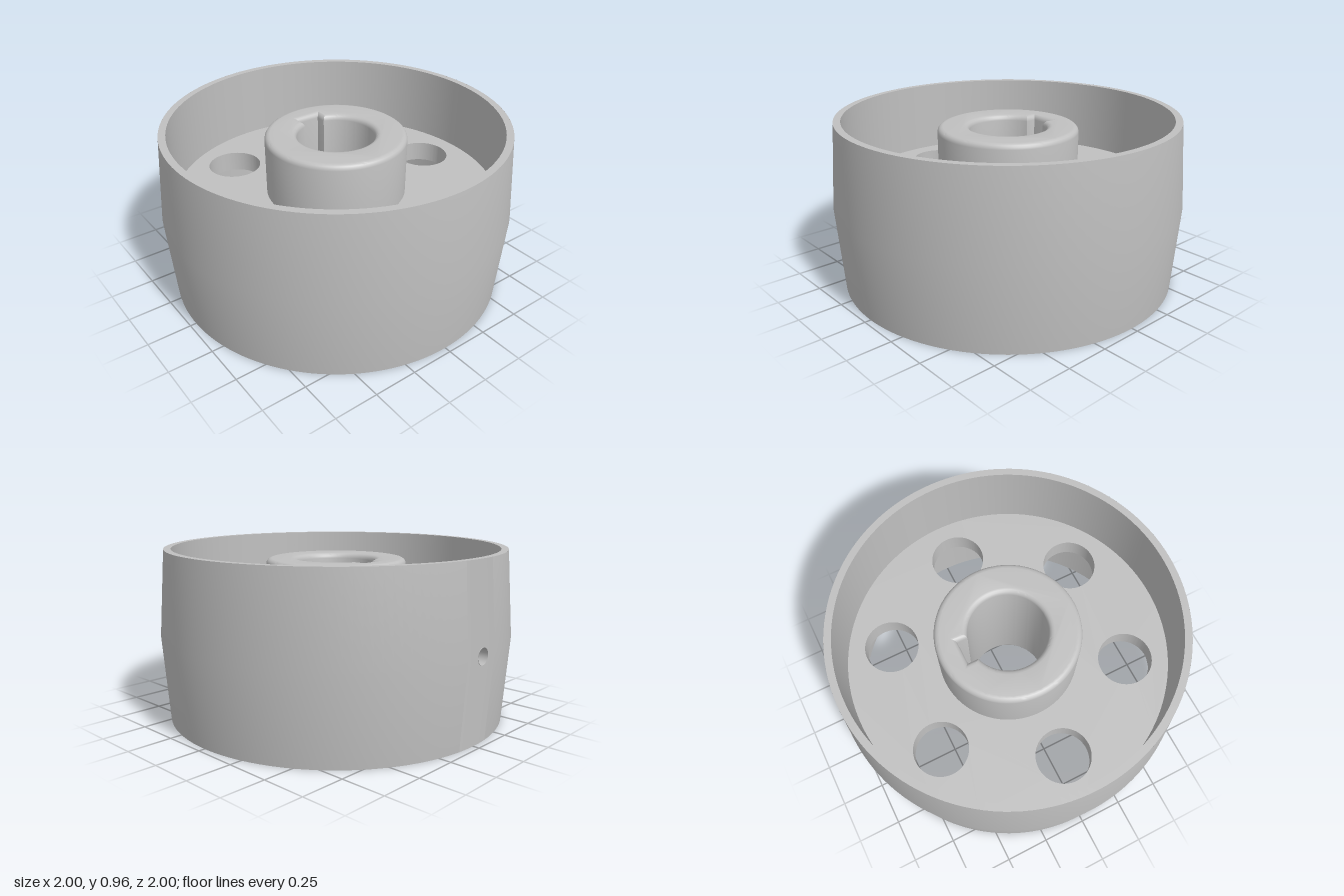
import * as THREE from 'three';
import { toCreasedNormals } from 'three/addons/utils/BufferGeometryUtils.js';

const H = 0.96, MID = H / 2;         // rim height and crown line
const R_MID = 1, R_END = 0.965;      // crowned outer radius
const R_IN = 0.925, R_HUB = 0.4, R_BORE = 0.22;
const GAP = 0.12, R_PIN = 0.045;     // back patch half angle, radial hole radius

const crownRadius = (y) => R_MID - (R_MID - R_END) * Math.abs(y - MID) / MID;

function circle(x, y, r) {
  return new THREE.Path().absarc(x, y, r, 0, Math.PI * 2, true);
}

// Extrudes a plan shape upward from y0
function plate(shape, y0, height, bevel = 0) {
  const geo = new THREE.ExtrudeGeometry(shape, {
    depth: height - 2 * bevel, curveSegments: 64, bevelEnabled: bevel > 0,
    bevelSize: bevel, bevelThickness: bevel, bevelOffset: -bevel, bevelSegments: 4,
  });
  geo.rotateX(-Math.PI / 2).translate(0, y0 + bevel, 0);
  return toCreasedNormals(geo, 0.6);
}

function ring(points, start = 0, length = Math.PI * 2) {
  return new THREE.LatheGeometry(points.map(([r, y]) => new THREE.Vector2(r, y)), 128, start, length);
}

// Curved panel at the back of the rim, blending a round hole into a rectangle
function holePatch() {
  const pos = [], nor = [], idx = [], N = 48, RINGS = 8;
  for (let i = 0; i <= RINGS; i++) {
    const k = (i / RINGS) ** 1.5;
    for (let j = 0; j <= N; j++) {
      const t = (j / N) * Math.PI * 2, c = Math.cos(t), s = Math.sin(t);
      const m = Math.max(Math.abs(c), Math.abs(s));
      const u = THREE.MathUtils.lerp(R_PIN * c, GAP * c / m, k);
      const y = MID + THREE.MathUtils.lerp(R_PIN * s, MID * s / m, k);
      const a = Math.PI + u, r = crownRadius(y);
      pos.push(r * Math.sin(a), y, r * Math.cos(a));
      nor.push(Math.sin(a), 0, Math.cos(a));
      if (i < RINGS && j < N) {
        const p = i * (N + 1) + j, q = p + N + 1;
        idx.push(p, q, q + 1, p, q + 1, p + 1);
      }
    }
  }
  const geo = new THREE.BufferGeometry();
  geo.setAttribute('position', new THREE.Float32BufferAttribute(pos, 3));
  geo.setAttribute('normal', new THREE.Float32BufferAttribute(nor, 3));
  geo.setIndex(idx);
  return geo;
}

export function createModel() {
  const model = new THREE.Group();
  model.name = 'crownedPulley';
  const metal = new THREE.MeshStandardMaterial({ color: 0xc0c0c0, side: THREE.DoubleSide });
  metal.name = 'grey metal';
  const add = (name, geo) => {
    const mesh = new THREE.Mesh(geo, metal);
    mesh.name = name;
    model.add(mesh);
    return mesh;
  };

  // Rim: crowned outside, straight inside, flat edges
  add('rimOuter', ring([[R_END, 0], [R_MID, MID], [R_END, H]], Math.PI + GAP, 2 * (Math.PI - GAP)));
  add('rimHolePanel', holePatch());
  add('rimInner', ring([[R_IN, H], [R_IN, 0]]));
  add('rimTopEdge', ring([[R_END, H], [R_IN, H]]));
  add('rimBottomEdge', ring([[R_IN, 0], [R_END, 0]]));

  // Wall of the small radial hole
  const pin = new THREE.CylinderGeometry(R_PIN, R_PIN, R_MID - R_IN, 32, 1, true);
  pin.rotateX(Math.PI / 2).translate(0, MID, -(R_MID + R_IN) / 2);
  add('rimHoleWall', pin);

  // Web with six round openings
  const web = new THREE.Shape().absarc(0, 0, R_IN, 0, Math.PI * 2, false);
  web.holes.push(circle(0, 0, R_HUB - 0.02));
  for (let i = 0; i < 6; i++) {
    const a = i * Math.PI / 3;
    web.holes.push(circle(0.677 * Math.cos(a), 0.677 * Math.sin(a), 0.155));
  }
  add('web', plate(web, 0.42, 0.12));

  // Hub with rounded edges, bore and keyway
  const hub = new THREE.Shape().absarc(0, 0, R_HUB, 0, Math.PI * 2, false);
  const w = 0.067, a = Math.acos(w / R_BORE);
  const bore = new THREE.Path();
  bore.moveTo(w, 0.27);
  bore.lineTo(w, R_BORE * Math.sin(a));
  bore.absarc(0, 0, R_BORE, a, Math.PI - a, true);
  bore.lineTo(-w, 0.27);
  bore.closePath();
  hub.holes.push(bore);
  add('hub', plate(hub, 0.07, H - 0.14, 0.03));

  return model;
}
